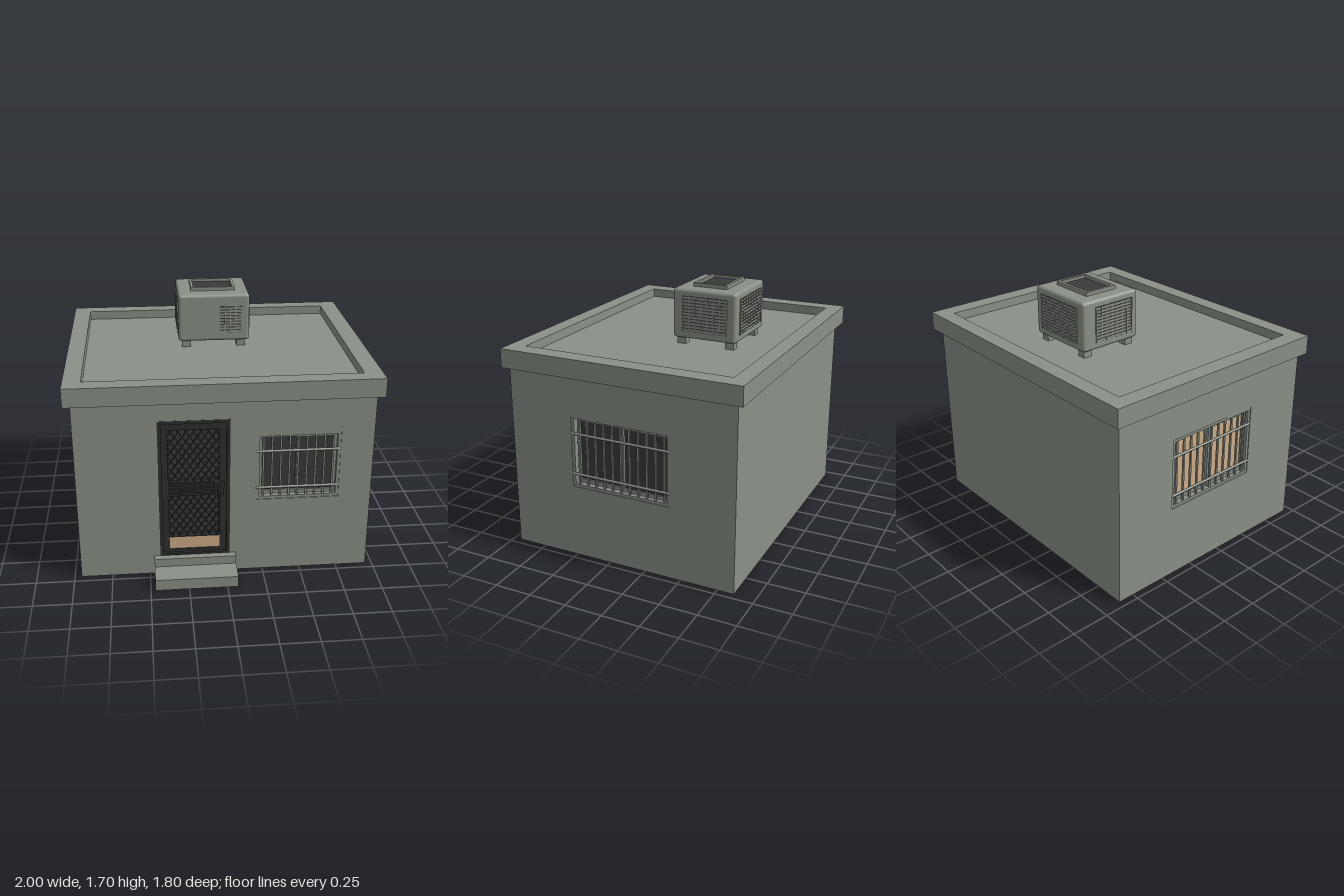
import * as THREE from 'three';
import { RoundedBoxGeometry } from 'three/addons/geometries/RoundedBoxGeometry.js';

const paint = (name, color) => {
  const m = new THREE.MeshStandardMaterial({ color });
  m.name = name;
  return m;
};

export function createModel() {
  const plaster = paint('greyGreenPlaster', 0x8a9187);
  const glass = paint('darkGlass', 0x3a3a3a);
  const iron = paint('blackIron', 0x2f2f2f);
  const tan = paint('tanBoard', 0xd0ae88);

  const model = new THREE.Group();
  model.name = 'smallHouse';

  const add = (parent, name, geometry, material) => {
    const mesh = new THREE.Mesh(geometry, material);
    mesh.name = name;
    parent.add(mesh);
    return mesh;
  };
  // Box given by its two corners
  const box = (parent, name, material, x0, x1, y0, y1, z0, z1) => {
    const g = new THREE.BoxGeometry(x1 - x0, y1 - y0, z1 - z0);
    g.translate((x0 + x1) / 2, (y0 + y1) / 2, (z0 + z1) / 2);
    return add(parent, name, g, material);
  };
  const group = (parent, name, x = 0, y = 0, z = 0, turn = 0) => {
    const g = new THREE.Group();
    g.name = name;
    g.position.set(x, y, z);
    g.rotation.y = turn;
    parent.add(g);
    return g;
  };
  // Flat rectangular panel with one rectangular opening, front face at z = depth
  const rect = (T, x0, x1, y0, y1) => new T([[x0, y0], [x1, y0], [x1, y1], [x0, y1]]
    .map(([x, y]) => new THREE.Vector2(x, y)));
  const panel = (outer, holes, depth) => {
    const s = rect(THREE.Shape, ...outer);
    holes.forEach(h => s.holes.push(rect(THREE.Path, ...h)));
    return new THREE.ExtrudeGeometry(s, { depth, bevelEnabled: false });
  };

  const D = 0.06; // depth of door and window recesses
  const WALL_TOP = 1.235;

  // Barred sliding window; the outer wall face lies at z = 0
  const barredWindow = (parent, x0, x1, y0, y1, railLow, railHigh, count, pane) => {
    const w = group(parent, 'barredWindow');
    box(w, 'windowPane', pane, x0, x1, y0, y1, -D - 0.002, -D + 0.006);
    add(w, 'outerFrame', panel([x0, x1, y0, y1],
      [[x0 + 0.02, x1 - 0.02, y0 + 0.02, y1 - 0.02]], 0.045), plaster).position.z = -0.05;
    const mid = (x0 + x1) / 2;
    [[x0 + 0.02, mid + 0.01, -0.052], [mid - 0.01, x1 - 0.02, -0.045]].forEach(([a, b, z]) => {
      add(w, 'sash', panel([a, b, y0 + 0.02, y1 - 0.02],
        [[a + 0.02, b - 0.02, y0 + 0.045, y1 - 0.045]], 0.012), plaster).position.z = z;
    });
    for (let i = 0; i < count; i++) {
      const x = x0 + 0.045 + (x1 - x0 - 0.09) * i / (count - 1);
      box(w, 'verticalBar', plaster, x - 0.006, x + 0.006, y0 + 0.015, y1 - 0.015, -0.022, -0.01);
    }
    [railLow, railHigh].forEach(y => {
      const rail = new THREE.CylinderGeometry(0.009, 0.009, x1 - x0, 8);
      rail.rotateZ(Math.PI / 2).translate(mid, y, -0.006);
      add(w, 'crossRail', rail, plaster);
    });
  };

  // Walls
  box(model, 'houseCore', plaster, -0.895, 0.895, 0, WALL_TOP, -0.86, 0.64);
  const door = { x0: -0.43, x1: 0.03, y0: 0.135, y1: 1.11 };
  const front = group(model, 'frontWall', 0, 0, 0.70);
  add(front, 'wallPanel', panel([-0.955, 0.955, 0, WALL_TOP],
    [[door.x0, door.x1, door.y0, door.y1], [0.20, 0.74, 0.53, 1.0]], D), plaster).position.z = -D;
  barredWindow(front, 0.20, 0.74, 0.53, 1.0, 0.615, 0.875, 9, glass);

  const left = group(model, 'leftWall', 0.955, 0, 0, Math.PI / 2);
  add(left, 'wallPanel', panel([-0.64, 0.86, 0, WALL_TOP], [[-0.26, 0.43, 0.49, 0.976]], D),
    plaster).position.z = -D;
  barredWindow(left, -0.26, 0.43, 0.49, 0.976, 0.58, 0.855, 11, glass);

  const right = group(model, 'rightWall', -0.955, 0, 0, -Math.PI / 2);
  add(right, 'wallPanel', panel([-0.86, 0.64, 0, WALL_TOP], [[-0.43, 0.26, 0.49, 0.976]], D),
    plaster).position.z = -D;
  barredWindow(right, -0.43, 0.26, 0.49, 0.976, 0.58, 0.855, 11, tan);

  // Screen door
  const d = group(model, 'screenDoor', 0, 0, 0.70);
  box(d, 'doorBacking', glass, door.x0, door.x1, door.y0, door.y1, -D - 0.002, -0.045);
  add(d, 'doorFrame', panel([door.x0, door.x1, door.y0, door.y1],
    [[door.x0 + 0.022, door.x1 - 0.022, door.y0 + 0.015, door.y1 - 0.022]], D), iron)
    .position.z = -D + 0.002;
  const fields = [[-0.366, -0.036, 0.67, 1.04], [-0.366, -0.036, 0.27, 0.57]];
  add(d, 'doorLeaf', panel([door.x0 + 0.022, door.x1 - 0.022, door.y0 + 0.015, door.y1 - 0.022],
    [...fields, [-0.366, -0.036, 0.172, 0.262]], 0.03), iron).position.z = -0.045;
  box(d, 'kickBoard', tan, -0.366, -0.036, 0.172, 0.262, -0.03, -0.022);
  [0.592, 0.622, 0.652].forEach(y =>
    box(d, 'middleRail', iron, -0.366, -0.06, y - 0.007, y + 0.007, -0.016, -0.006));

  // Diamond lattice: diagonal strips clipped to each field
  const slope = 1.4, step = 0.068;
  fields.forEach(([x0, x1, y0, y1]) => {
    for (const s of [1, -1]) {
      const reach = slope * (x1 - x0);
      for (let c = y0 - reach + step / 2; c < y1; c += step) {
        // Strip rises from height c at one side of the field
        const t0 = Math.max(0, (y0 - c) / slope), t1 = Math.min(x1 - x0, (y1 - c) / slope);
        if (t1 - t0 < 0.01) continue;
        const len = (t1 - t0) * Math.hypot(1, slope), t = (t0 + t1) / 2;
        const strip = new THREE.BoxGeometry(len, 0.007, 0.006);
        strip.rotateZ(s * Math.atan(slope));
        strip.translate(s > 0 ? x0 + t : x1 - t, c + slope * t, -0.03);
        add(d, 'latticeStrip', strip, iron);
      }
    }
  });
  box(d, 'lockPlate', iron, -0.07, -0.008, 0.575, 0.67, -0.016, 0.004);
  box(d, 'doorHandle', iron, -0.05, -0.03, 0.59, 0.65, 0.004, 0.022);

  // Entrance steps
  box(model, 'upperStep', plaster, -0.47, 0.07, 0, 0.135, 0.69, 0.745);
  box(model, 'lowerStep', plaster, -0.47, 0.07, 0, 0.077, 0.745, 0.90);

  // Flat roof with a raised rim
  const rim = panel([-1, 1, -0.73, 0.905], [[-0.885, 0.88, -0.62, 0.80]], 0.125);
  rim.rotateX(-Math.PI / 2).translate(0, WALL_TOP, 0);
  add(model, 'roofRim', rim, plaster);
  box(model, 'roofDeck', plaster, -0.885, 0.88, WALL_TOP, 1.30, -0.80, 0.62);

  // Rooftop cooler
  const cooler = group(model, 'rooftopCooler', -0.005, 0, -0.323);
  const body = new RoundedBoxGeometry(0.49, 0.33, 0.444, 3, 0.022);
  add(cooler, 'coolerBody', body.translate(0, 1.51, 0), plaster);
  for (const x of [-0.19, 0.19]) for (const z of [-0.17, 0.17])
    box(cooler, 'coolerFoot', plaster, x - 0.03, x + 0.03, 1.30, 1.35, z - 0.03, z + 0.03);
  const hatch = panel([-0.152, 0.152, -0.118, 0.118], [[-0.134, 0.134, -0.098, 0.098]], 0.03);
  add(cooler, 'topFrame', hatch.rotateX(-Math.PI / 2).translate(0, 1.67, 0), plaster);
  box(cooler, 'topVent', glass, -0.134, 0.134, 1.673, 1.681, -0.098, 0.098);

  // Louvred grilles on all four sides
  const grille = (x, z, turn, x0, x1, y0, y1, rows, cols) => {
    const g = group(cooler, 'grille', x, 0, z, turn);
    box(g, 'grilleBack', glass, x0, x1, y0, y1, -0.005, 0.002);
    const h = (y1 - y0) / rows, w = (x1 - x0) / cols;
    for (let i = 0; i < rows; i++)
      box(g, 'louvre', plaster, x0, x1, y0 + h * (i + 0.12), y0 + h * (i + 0.8), 0, 0.006);
    for (let i = 0; i <= cols; i++)
      box(g, 'grilleRib', plaster, x0 + w * i - 0.004, x0 + w * i + 0.004, y0, y1, 0, 0.008);
  };
  grille(0, 0.222, 0, 0.035, 0.19, 1.405, 1.59, 9, 4);
  grille(0.245, 0, Math.PI / 2, -0.15, 0.155, 1.395, 1.63, 11, 7);
  grille(0, -0.222, Math.PI, -0.18, 0.18, 1.395, 1.63, 11, 8);
  grille(-0.245, 0, -Math.PI / 2, -0.12, 0.17, 1.395, 1.63, 11, 7);

  return model;
}
